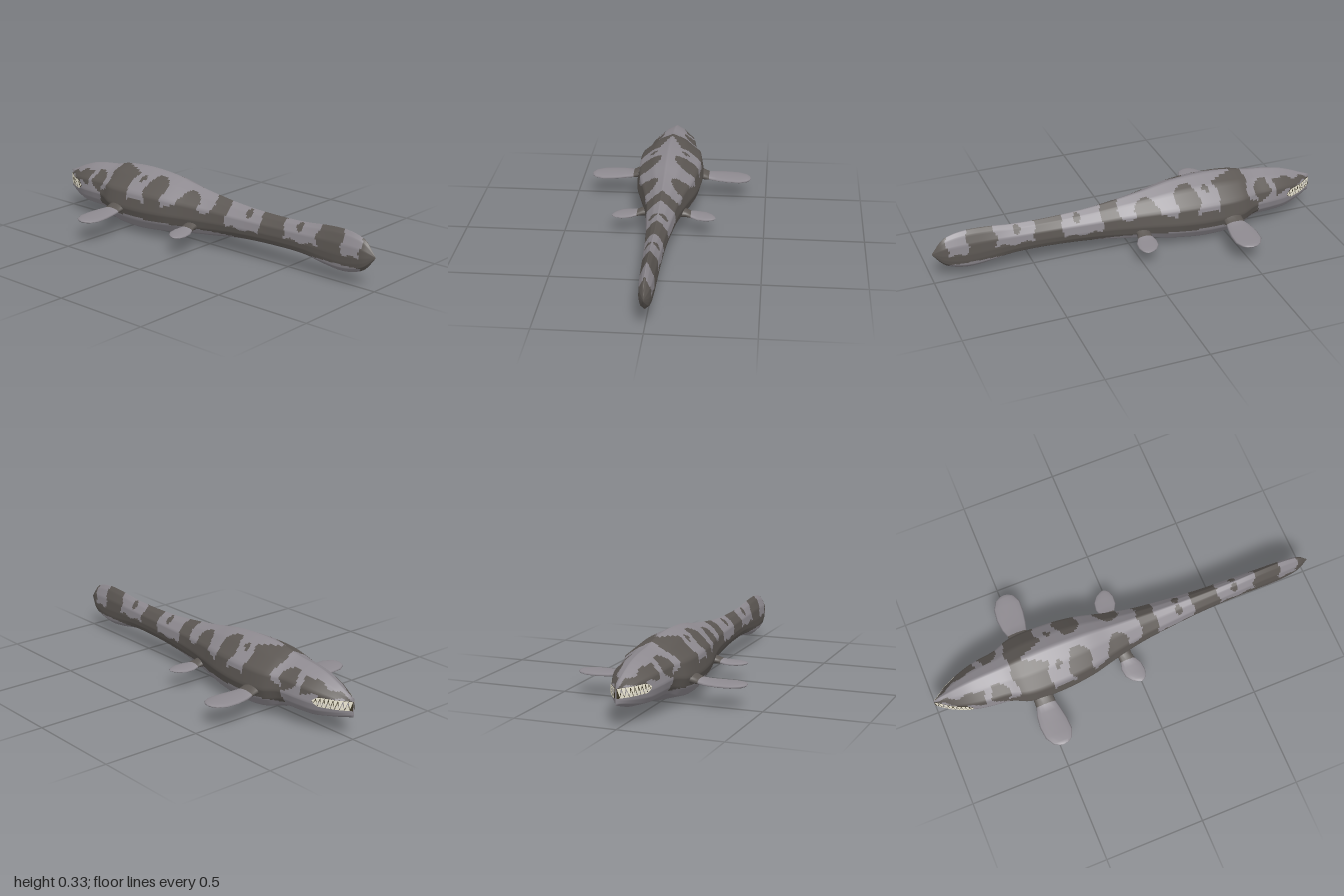
import * as THREE from 'three';

const light = new THREE.MeshStandardMaterial({ color: 0x8e8a90, name: 'lightGreySkin' });
const dark = new THREE.MeshStandardMaterial({ color: 0x5c5753, name: 'darkBrownSkin' });
const mouthMat = new THREE.MeshStandardMaterial({ color: 0x3a3424, name: 'mouthDark', side: THREE.DoubleSide });
const toothMat = new THREE.MeshStandardMaterial({ color: 0xeae5d2, name: 'toothIvory', side: THREE.DoubleSide });

// Body stations from snout to tail tip: z, bottom, top, half width
const stations = [
  [-1, 0.11, 0.2, 0], [-0.95, 0.095, 0.22, 0.04], [-0.9, 0.08, 0.243, 0.068], [-0.82, 0.062, 0.272, 0.1],
  [-0.74, 0.06, 0.288, 0.118], [-0.64, 0.055, 0.3, 0.132], [-0.56, 0.022, 0.318, 0.163], [-0.4, 0.003, 0.33, 0.17],
  [-0.22, 0.016, 0.32, 0.152], [-0.08, 0.038, 0.294, 0.117], [0.05, 0.056, 0.274, 0.088], [0.2, 0.078, 0.256, 0.07],
  [0.4, 0.09, 0.246, 0.052], [0.6, 0.088, 0.25, 0.043], [0.72, 0.068, 0.262, 0.038], [0.82, 0.06, 0.266, 0.035],
  [0.9, 0.075, 0.255, 0.031], [0.95, 0.102, 0.232, 0.024], [1, 0.162, 0.168, 0],
];
const spline = new THREE.CubicInterpolant(
  stations.map((s) => s[0]), stations.flatMap((s) => s.slice(1)), 3, new Float32Array(3));

// Half cross-section from belly to back: width and height as fractions
const profile = [[0, 0], [0.7, 0.11], [0.9, 0.25], [1, 0.42], [0.92, 0.68], [0.45, 0.89], [0, 1]];

function widthAt(v) {
  for (let k = 1; k < profile.length; k++) {
    const [w0, v0] = profile[k - 1], [w1, v1] = profile[k];
    if (v <= v1) return w0 + (w1 - w0) * (v - v0) / (v1 - v0);
  }
  return 0;
}

function surfaceX(z, y) {
  const [b, t, w] = spline.evaluate(z);
  return w * widthAt((y - b) / (t - b));
}

// Closed tube through rings of points; pick(center) chooses the material index
function loft(rings, pick) {
  const n = rings[0].length, sets = [[], []], mid = new THREE.Vector3();
  for (let i = 0; i < rings.length - 1; i++) {
    for (let j = 0; j < n; j++) {
      const k = (j + 1) % n, a = i * n + j, b = i * n + k;
      mid.copy(rings[i][j]).add(rings[i + 1][k]).multiplyScalar(0.5);
      sets[pick(mid)].push(a, b, a + n, b, b + n, a + n);
    }
  }
  const g = new THREE.BufferGeometry().setFromPoints(rings.flat());
  g.setIndex([...sets[0], ...sets[1]]);
  g.addGroup(0, sets[0].length, 0);
  g.addGroup(sets[0].length, sets[1].length, 1);
  g.computeVertexNormals();
  return g;
}

const blob = (z, y, zc, yc, rz, ry) => ((z - zc) / rz) ** 2 + ((y - yc) / ry) ** 2 < 1;

// Camouflage rule: 0 = light skin, 1 = dark skin
function skin(p) {
  const x = Math.abs(p.x);
  const z = p.z + 0.008 * Math.sin(p.y * 70 + p.z * 9);
  const y = p.y + 0.007 * Math.sin(p.z * 55);
  if (p.y < 0.1) return z > 0.93 ? 1 : 0;
  // tail saddles and their small spots
  if (z > 0.93) return 1;
  if (z > 0.83) return y > 0.15 ? 0 : 1;
  if (z > 0.69) return 1;
  if (z > 0.5) return y > 0.16 && !blob(z, y, 0.59, 0.23, 0.018, 0.022) ? 0 : 1;
  if (z > 0.36) return 1;
  if (z > 0.16) return y > 0.15 && !blob(z, y, 0.28, 0.23, 0.02, 0.02) ? 0 : 1;
  if (z > 0.07) return 1;
  // back with paired blotches
  if (z > -0.43) {
    if (blob(z, x, -0.06, 0.1, 0.06, 0.065) || blob(z, x, -0.27, 0.11, 0.06, 0.075)) return 1;
    if (blob(z, y, -0.38, 0.28, 0.015, 0.012)) return 1;
    return y > 0.195 ? 0 : 1;
  }
  // shoulder band with a pale notch
  if (z > -0.6) return x < 0.05 * (z + 0.56) / 0.12 && p.y > 0.2 ? 0 : 1;
  // neck and head
  if (z > -0.66 && y < 0.19) return 1;
  if (blob(z, y, -0.685, 0.225, 0.045, 0.05) && x > 0.055) return 1;
  const streak = 0.19 + 0.065 * (z + 1) / 0.22;
  return z < -0.76 && y > 0.185 && y < streak ? 1 : 0;
}

function bodyGeometry() {
  const rings = [], NZ = 220, SUB = 6;
  for (let i = 0; i <= NZ; i++) {
    const z = -1 + 2 * i / NZ;
    const [b, t, w] = spline.evaluate(z);
    const half = [];
    for (let k = 0; k < 6 * SUB; k++) {
      const s = Math.floor(k / SUB), f = (k % SUB) / SUB;
      half.push([0, 1].map((c) => profile[s][c] * (1 - f) + profile[s + 1][c] * f));
    }
    half.push([0, 1]);
    const full = [...half, ...half.slice(1, -1).reverse().map(([x, v]) => [-x, v])];
    rings.push(full.map(([x, v]) => new THREE.Vector3(x * w, b + v * (t - b), z)));
  }
  return loft(rings, skin);
}

// Flipper stations: x, z centre, half chord, y, half thickness
const frontFin = [
  [0.12, -0.49, 0.055, 0.135, 0.04], [0.165, -0.495, 0.05, 0.13, 0.024], [0.2, -0.495, 0.05, 0.121, 0.014],
  [0.24, -0.497, 0.062, 0.118, 0.012], [0.3, -0.495, 0.071, 0.116, 0.011], [0.36, -0.49, 0.069, 0.115, 0.011],
  [0.4, -0.487, 0.048, 0.115, 0.01], [0.415, -0.486, 0.026, 0.115, 0.006], [0.42, -0.486, 0.002, 0.115, 0.001],
];
const rearFin = [
  [0.07, -0.045, 0.04, 0.115, 0.028], [0.11, -0.04, 0.035, 0.11, 0.018], [0.135, -0.035, 0.038, 0.104, 0.012],
  [0.17, -0.03, 0.053, 0.1, 0.01], [0.21, -0.025, 0.052, 0.098, 0.01], [0.24, -0.018, 0.036, 0.097, 0.008],
  [0.253, -0.013, 0.02, 0.097, 0.005], [0.26, -0.01, 0.002, 0.097, 0.001],
];

function finGeometry(list, side, rootEnd) {
  const N = 14;
  const rings = list.map(([x, zc, c, y, h]) => Array.from({ length: N }, (_, j) => {
    const a = -side * j / N * Math.PI * 2;
    return new THREE.Vector3(side * x, y + h * Math.sin(a), zc + c * Math.cos(a));
  }));
  return loft(rings, (p) => (Math.abs(p.x) < rootEnd ? 1 : 0));
}

function triangles(points) {
  const g = new THREE.BufferGeometry().setFromPoints(points);
  g.computeVertexNormals();
  return g;
}

// Gum strip and interlocking teeth laid along the jaw surface
function jawGeometry(side) {
  const on = (z, y, lift) => new THREE.Vector3(side * (surfaceX(z, y) + lift), y, z);
  const order = (a, b, c) => (side > 0 ? [a, b, c] : [a, c, b]);
  const gum = [], teeth = [], N = 9, z0 = -0.83, step = -0.168 / N;
  const gape = (z) => 0.022 * Math.min(1, (z0 - z) / 0.03 + 0.15);
  for (let i = 0; i < N; i++) {
    const a = z0 + i * step, b = a + step, m = (a + b) / 2;
    const ga = gape(a), gb = gape(b), gm = gape(m), yc = 0.162;
    for (const [p, q, gp, gq] of [[a, m, ga, gm], [m, b, gm, gb]]) {
      const lo = on(p, yc - gp, 0.002), hi = on(p, yc + gp, 0.002);
      const lo2 = on(q, yc - gq, 0.002), hi2 = on(q, yc + gq, 0.002);
      gum.push(...order(lo, hi, lo2), ...order(hi, hi2, lo2));
    }
    // upper tooth points down, lower tooth sits half a step forward
    teeth.push(...order(on(a, yc + ga, 0.004), on(b, yc + gb, 0.004), on(m, yc - gm * 0.7, 0.005)));
    if (i < N - 1) {
      const e = m + step, ge = gape(e);
      teeth.push(...order(on(m, yc - gm, 0.004), on(b, yc + gb * 0.5, 0.005), on(e, yc - ge, 0.004)));
    }
  }
  return [triangles(gum), triangles(teeth)];
}

export function createModel() {
  const model = new THREE.Group();
  model.name = 'marineReptile';
  const add = (name, geometry, material) => {
    const mesh = new THREE.Mesh(geometry, material);
    mesh.name = name;
    model.add(mesh);
  };
  add('body', bodyGeometry(), [light, dark]);
  for (const [side, label] of [[1, 'left'], [-1, 'right']]) {
    add(label + 'FrontFlipper', finGeometry(frontFin, side, 0.2), [light, dark]);
    add(label + 'RearFlipper', finGeometry(rearFin, side, 0.125), [light, dark]);
    const [gum, teeth] = jawGeometry(side);
    add(label + 'Mouth', gum, mouthMat);
    add(label + 'Teeth', teeth, toothMat);
  }
  return model;
}
